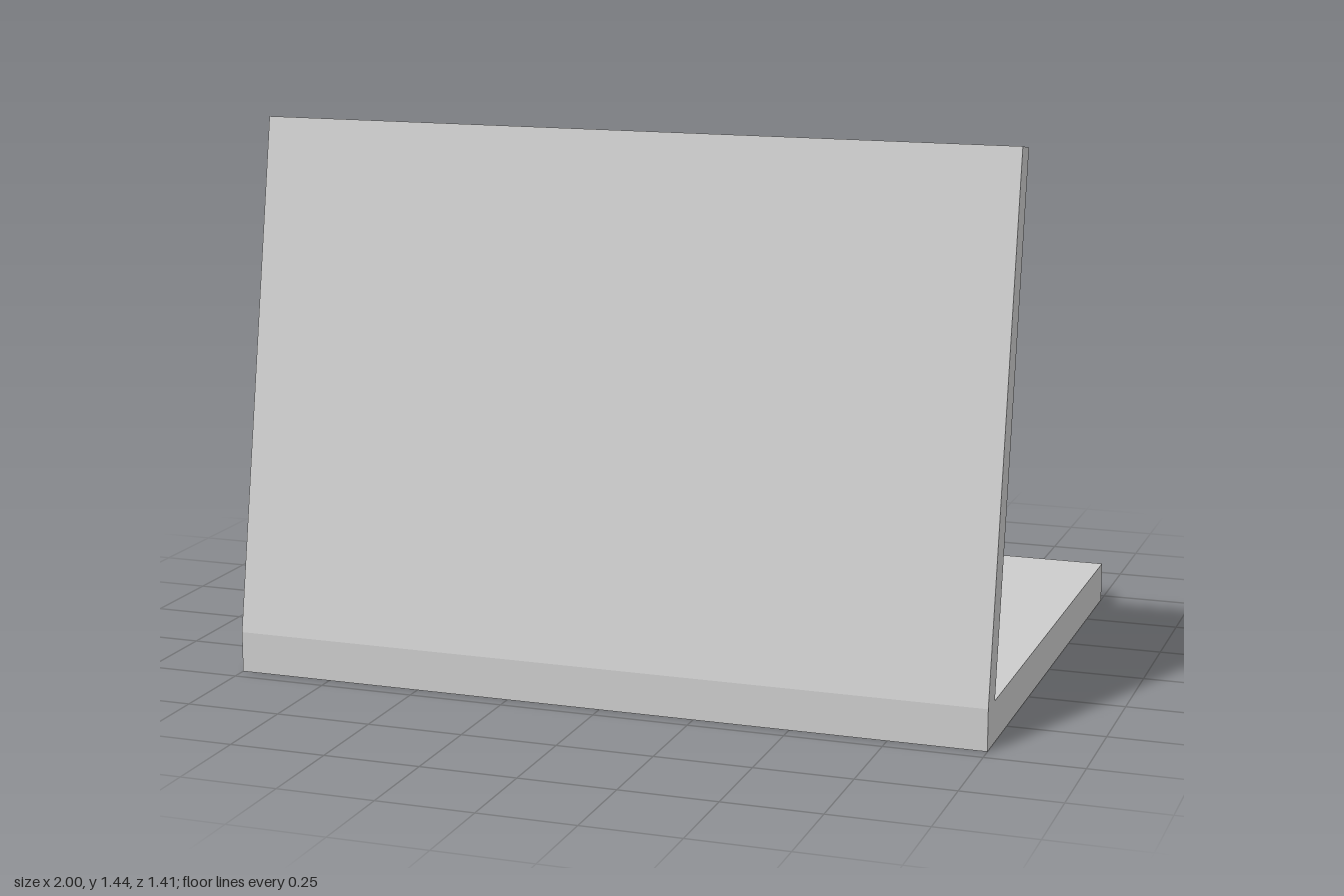
import * as THREE from 'three';

// Solid with a (z, y) side profile, running across x and centred on x = 0
function across(name, profile, width, material) {
  const shape = new THREE.Shape(profile.map(([z, y]) => new THREE.Vector2(-z, y)));
  const geometry = new THREE.ExtrudeGeometry(shape, { depth: width, bevelEnabled: false });
  geometry.translate(0, 0, -width / 2);
  geometry.rotateY(Math.PI / 2); // profile x becomes -z, depth becomes x
  const mesh = new THREE.Mesh(geometry, material);
  mesh.name = name;
  return mesh;
}

export function createModel() {
  const group = new THREE.Group();
  group.name = 'laptop';
  const casing = new THREE.MeshStandardMaterial({ color: 0xcccccc });
  casing.name = 'light grey';

  // Keyboard base and leaning lid share one folded body
  group.add(across('body', [
    [0.706, 0], [0.706, 0.107], [0.465, 1.437], [0.397, 1.426],
    [0.637, 0.107], [-0.706, 0.107], [-0.706, 0],
  ], 2, casing));

  // Thin raised screen on the inner side of the lid
  group.add(across('screen', [
    [0.629, 0.152], [0.418, 1.312], [0.408, 1.31], [0.619, 0.15],
  ], 1.78, casing));

  return group;
}
